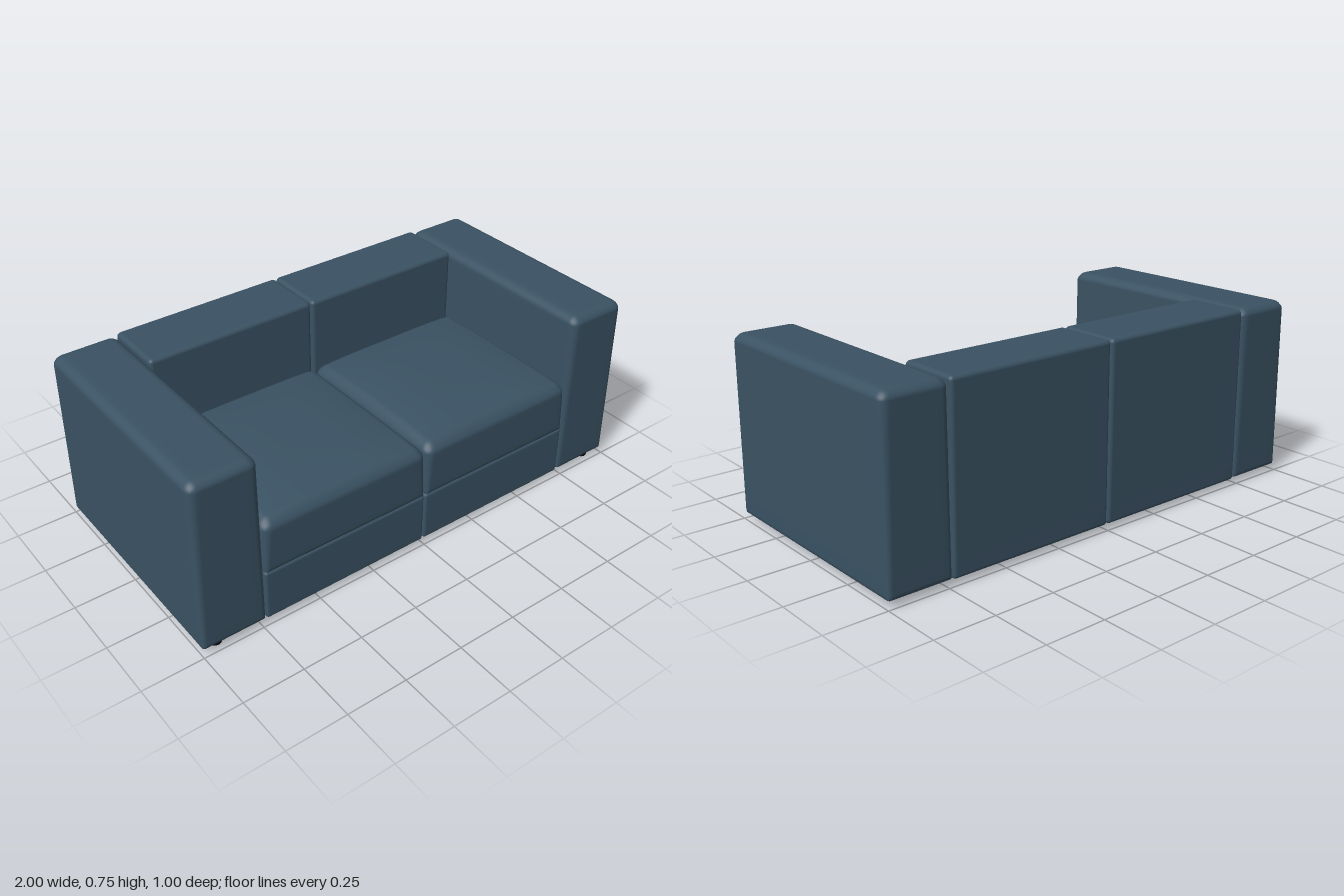
import * as THREE from 'three';
import { mergeVertices } from 'three/addons/utils/BufferGeometryUtils.js';

// Maps a grid parameter u (-1..1) to a coordinate, with half the grid spent on the rounded edges
function gridCoord(u, half, r) {
  const a = Math.abs(u);
  return Math.sign(u) * (a > 0.5 ? half - r * (1 - a) * 2 : a * 2 * (half - r));
}

// Upholstered block: rounded box whose edge radius grows from bottom to top, with an optional domed top
function softBox([x0, x1], [y0, y1], [z0, z1], rBottom, rTop, dome = 0) {
  const geo = new THREE.BoxGeometry(2, 2, 2, 16, 16, 16);
  geo.deleteAttribute('uv');
  geo.deleteAttribute('normal');
  const half = [(x1 - x0) / 2, (y1 - y0) / 2, (z1 - z0) / 2];
  const pos = geo.attributes.position;
  const p = new THREE.Vector3(), inner = new THREE.Vector3();
  for (let i = 0; i < pos.count; i++) {
    const u = [pos.getX(i), pos.getY(i), pos.getZ(i)];
    const r = THREE.MathUtils.lerp(rBottom, rTop, (u[1] + 1) / 2);
    const c = u.map((v, k) => gridCoord(v, half[k], r));
    p.fromArray(c);
    inner.fromArray(c.map((v, k) => THREE.MathUtils.clamp(v, r - half[k], half[k] - r)));
    p.sub(inner).setLength(r).add(inner);
    const bulge = (1 - (p.x / half[0]) ** 4) * (1 - (p.z / half[2]) ** 4);
    p.y += dome * bulge * THREE.MathUtils.smoothstep(p.y, 0, half[1]);
    pos.setXYZ(i, p.x, p.y, p.z);
  }
  const merged = mergeVertices(geo, 1e-5);
  merged.computeVertexNormals();
  merged.translate((x0 + x1) / 2, (y0 + y1) / 2, (z0 + z1) / 2);
  return merged;
}

export function createModel() {
  const sofa = new THREE.Group();
  sofa.name = 'sofa';
  const fabric = new THREE.MeshStandardMaterial({ color: 0x3a5263 });
  fabric.name = 'blue grey fabric';
  const black = new THREE.MeshStandardMaterial({ color: 0x0c0c0c });
  black.name = 'black feet';

  const add = (name, geo, material) => {
    const mesh = new THREE.Mesh(geo, material);
    mesh.name = name;
    sofa.add(mesh);
    return mesh;
  };

  const footGeo = new THREE.CylinderGeometry(0.028, 0.024, 0.03, 20);
  const foot = (name, x, z) => add(name, footGeo, black).position.set(x, 0.015, z);

  for (const side of [1, -1]) {
    const label = side > 0 ? 'left' : 'right';
    const span = (a, b) => (side > 0 ? [a, b] : [-b, -a]);

    // Upholstered modules
    add(label + 'Arm', softBox(span(0.731, 1), [0.027, 0.75], [-0.5, 0.495], 0.015, 0.04), fabric);
    add(label + 'Backrest', softBox(span(0.002, 0.729), [0.023, 0.75], [-0.5, -0.235], 0.014, 0.018), fabric);
    add(label + 'SeatBase', softBox(span(0.002, 0.729), [0.023, 0.238], [-0.232, 0.493], 0.012, 0.012), fabric);
    add(label + 'Cushion', softBox(span(0.002, 0.729), [0.238, 0.458], [-0.232, 0.495], 0.012, 0.045, 0.032), fabric);

    // Feet
    for (const z of [0.45, -0.42]) foot(label + 'ArmFoot', side * 0.925, z);
    for (const x of [0.05, 0.677]) {
      for (const z of [0.44, -0.155]) foot(label + 'SeatFoot', side * x, z);
      foot(label + 'BackFoot', side * x, -0.42);
    }
  }
  return sofa;
}
